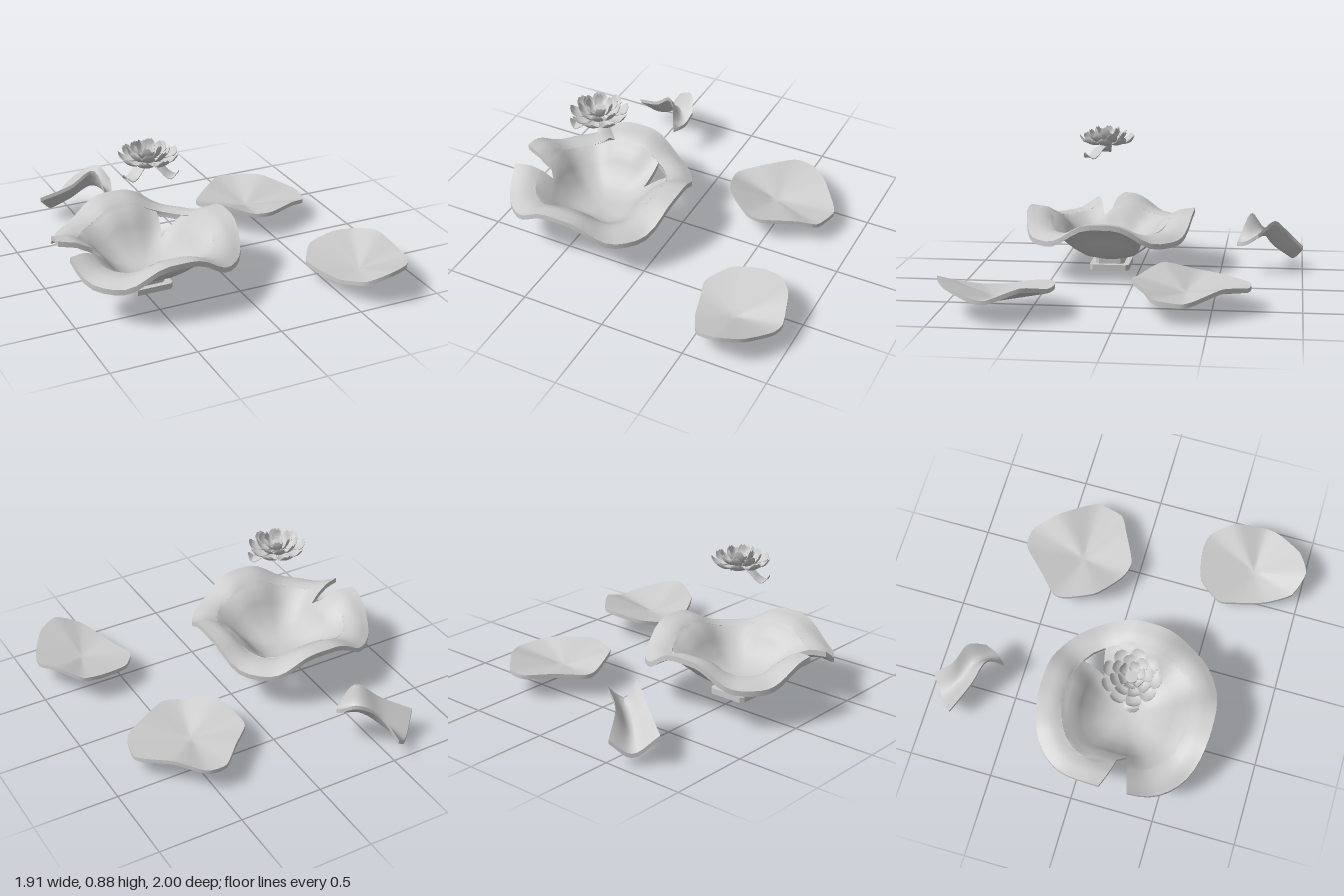
import * as THREE from 'three';
import { mergeGeometries, toCreasedNormals } from 'three/addons/utils/BufferGeometryUtils.js';

const material = new THREE.MeshStandardMaterial({ color: 0xcccccc, side: THREE.DoubleSide });

// Thin sheet: f(u, v) gives the upper surface, t is the vertical thickness.
// us and vs are lists of parameters; closed sheets need no side walls in u.
function slab(f, us, vs, t, closed = false) {
  const pos = [], index = [], nu = us.length, nv = vs.length, n = nu * nv;
  for (const drop of [0, t])
    for (const v of vs) for (const u of us) {
      const p = f(u, v);
      pos.push(p.x, p.y - drop, p.z);
    }
  const quad = (a, b, c, d) => index.push(a, b, c, a, c, d);
  const at = (i, j) => j * nu + i;
  for (let j = 0; j < nv - 1; j++) for (let i = 0; i < nu - 1; i++) {
    const a = at(i, j), b = at(i + 1, j), c = at(i + 1, j + 1), d = at(i, j + 1);
    quad(a, b, c, d);
    quad(d + n, c + n, b + n, a + n);
  }
  const wall = (a, b) => quad(b, a, a + n, b + n);
  for (let i = 0; i < nu - 1; i++) {
    wall(at(i, 0), at(i + 1, 0));
    wall(at(i + 1, nv - 1), at(i, nv - 1));
  }
  if (!closed) for (let j = 0; j < nv - 1; j++) {
    wall(at(0, j + 1), at(0, j));
    wall(at(nu - 1, j), at(nu - 1, j + 1));
  }
  // Turn all faces outward if the enclosed volume comes out negative
  const P = k => new THREE.Vector3().fromArray(pos, k * 3);
  let volume = 0;
  const o = P(0);
  for (let k = 0; k < index.length; k += 3) {
    const [a, b, c] = [0, 1, 2].map(m => P(index[k + m]).sub(o));
    volume += a.dot(b.cross(c));
  }
  if (volume < 0) index.reverse();
  const g = new THREE.BufferGeometry();
  g.setAttribute('position', new THREE.Float32BufferAttribute(pos, 3));
  g.setIndex(index);
  return g.toNonIndexed();
}

const steps = n => Array.from({ length: n + 1 }, (_, i) => i / n);
const mix = THREE.MathUtils.lerp;

function addMesh(parent, name, geometry, crease = 0.7) {
  const mesh = new THREE.Mesh(toCreasedNormals(geometry, crease), material);
  mesh.name = name;
  parent.add(mesh);
  return mesh;
}

// Piecewise linear lookup in a list of [x, y]
function lookup(table, x) {
  for (let i = 1; i < table.length; i++) {
    const [x0, y0] = table[i - 1], [x1, y1] = table[i];
    if (x <= x1) return mix(y0, y1, (x - x0) / (x1 - x0));
  }
  return table[table.length - 1][1];
}

// Bowl: rounded square plan, rim high at the sides and drooping at the corners
function makeBowl() {
  const bowl = new THREE.Group();
  bowl.name = 'bowl';
  bowl.position.set(-0.45, 0, 0.185);
  const side = [[0, 0.065], [0.09, 0.065], [0.17, 0.1], [0.24, 0.165], [0.29, 0.24], [0.34, 0.285], [0.42, 0.325], [0.515, 0.338]];
  const corner = [[0, 0.065], [0.09, 0.065], [0.17, 0.09], [0.24, 0.135], [0.31, 0.195], [0.38, 0.245], [0.45, 0.245], [0.515, 0.212]];
  const t = 0.032, power = 2.46;
  const point = (a, s) => {
    const c = Math.cos(a), d = Math.sin(a);
    const r = s / (Math.abs(c) ** power + Math.abs(d) ** power) ** (1 / power);
    const w = THREE.MathUtils.smoothstep(0.5 + 0.5 * Math.cos(4 * a), 0, 1);
    return new THREE.Vector3(r * c, mix(lookup(corner, s), lookup(side, s), w) + t, r * d);
  };
  // Edges of the triangular hole and of the rim notch, as angles by ring size
  const gap = s => (s > 0.245 && s <= 0.37 ? (s - 0.245) / 0.125 : 0);
  const holeStart = s => -0.8 - 0.2 * gap(s);
  const holeEnd = s => -0.8 + 0.2 * gap(s);
  const notchStart = () => Math.PI - 0.28;
  const notchEnd = s => Math.PI + lookup([[0, -0.28], [0.29, -0.28], [0.325, -0.1], [0.515, 0.04]], s);
  const rings = [0, 0.09, 0.13, 0.17, 0.205, 0.245, 0.27, 0.29, 0.325, 0.345, 0.37, 0.3702, 0.395, 0.42, 0.45, 0.485, 0.515];
  const panel = (from, to) => slab((u, s) => point(mix(from(s), to(s), u), s), steps(32), rings, t);
  addMesh(bowl, 'bowlShell', mergeGeometries([
    panel(holeEnd, notchStart),
    panel(notchEnd, s => holeStart(s) + 2 * Math.PI),
  ]), 0.75);

  // Foot and neck with clipped corners
  const block = (name, h, y, height) => {
    const c = h - 0.02, shape = new THREE.Shape();
    [[h, c], [c, h], [-c, h], [-h, c], [-h, -c], [-c, -h], [c, -h], [h, -c]]
      .forEach(([x, z], i) => (i ? shape.lineTo(x, z) : shape.moveTo(x, z)));
    const g = new THREE.ExtrudeGeometry(shape, { depth: height, bevelEnabled: false });
    g.rotateX(-Math.PI / 2).translate(0, y, 0);
    addMesh(bowl, name, g, 0.3);
  };
  block('foot', 0.122, 0, 0.035);
  block('neck', 0.088, 0.035, 0.04);
  return bowl;
}

// Shallow plate: a smooth closed outline of [x, y, z] falling to a low centre
function makePlate(name, centre, outline) {
  const rim = new THREE.CatmullRomCurve3(outline.map(p => new THREE.Vector3(...p)), true, 'catmullrom', 0.3);
  const mid = new THREE.Vector3(...centre);
  const group = new THREE.Group();
  addMesh(group, name, slab((u, v) => mid.clone().lerp(rim.getPoint(u), v), steps(48), steps(6), 0.025, true));
  return group.children[0];
}

// Curled strip: smooth surface through rows of three points
function makeCurl(parent) {
  const rows = [
    [[-0.73, 0.17, -0.83], [-0.62, 0.065, -0.93], [-0.52, 0.14, -1]],
    [[-0.56, 0.26, -0.74], [-0.53, 0.15, -0.84], [-0.46, 0.27, -0.88]],
    [[-0.43, 0.36, -0.68], [-0.41, 0.25, -0.76], [-0.35, 0.33, -0.82]],
    [[-0.37, 0.19, -0.6], [-0.32, 0.21, -0.66], [-0.3, 0.26, -0.73]],
  ].map(r => new THREE.CatmullRomCurve3(r.map(p => new THREE.Vector3(...p))));
  const f = (u, v) => new THREE.CatmullRomCurve3(rows.map(r => r.getPoint(u))).getPoint(v);
  addMesh(parent, 'curledLeaf', slab(f, steps(10), steps(16), 0.025));
}

// Petal pointing along +x through a list of [distance, height], cupped across
function petal(path, width, cup) {
  const curve = new THREE.CatmullRomCurve3(path.map(([x, y]) => new THREE.Vector3(x, y, 0)));
  return slab((u, v) => {
    const p = curve.getPoint(v), e = u * 2 - 1;
    const half = width * (0.3 + 0.7 * Math.sin(Math.PI * Math.min(1, v * 0.62 + 0.1))) * Math.sqrt(1 - 0.9 * v ** 4);
    p.z = e * half;
    p.y += cup * e * e * (1 - 0.5 * v);
    return p;
  }, steps(6), steps(7), 0.005);
}

function makeFlower() {
  const flower = new THREE.Group();
  flower.name = 'flower';
  flower.position.set(-0.43, 0, 0.205);
  const layers = [
    { name: 'outerPetal', n: 9, width: 0.045, path: [[0.03, 0.785], [0.1, 0.782], [0.145, 0.795], [0.168, 0.825]] },
    { name: 'middlePetal', n: 8, width: 0.037, path: [[0.03, 0.79], [0.075, 0.795], [0.105, 0.82], [0.12, 0.85]] },
    { name: 'innerPetal', n: 6, width: 0.03, path: [[0.02, 0.795], [0.05, 0.81], [0.07, 0.84], [0.075, 0.872]] },
  ];
  layers.forEach(({ name, n, width, path }, k) => {
    for (let i = 0; i < n; i++)
      addMesh(flower, name, petal(path, width, 0.015)).rotation.y = (i + k * 0.5) / n * 2 * Math.PI;
  });
  // Drooping sepals below the petals
  const droop = [[0.01, 0.785], [0.06, 0.765], [0.12, 0.715], [0.15, 0.71], [0.175, 0.74]];
  for (const angle of [-2.85, -0.75])
    addMesh(flower, 'sepal', petal(droop, 0.045, -0.01)).rotation.y = angle;
  const core = new THREE.CylinderGeometry(0.036, 0.03, 0.05, 12).translate(0, 0.81, 0);
  addMesh(flower, 'flowerCentre', core);
  return flower;
}

export function createModel() {
  const model = new THREE.Group();
  model.add(makeBowl(), makeFlower());
  model.add(makePlate('backPlate', [0.46, 0.09, -0.35], [
    [0.83, 0.12, -0.35], [0.79, 0.13, -0.2], [0.68, 0.155, -0.14], [0.49, 0.165, -0.05], [0.38, 0.16, -0.08],
    [0.22, 0.2, -0.2], [0.16, 0.15, -0.38], [0.17, 0.14, -0.46], [0.3, 0.15, -0.585], [0.43, 0.145, -0.71],
    [0.55, 0.145, -0.7], [0.68, 0.17, -0.57], [0.8, 0.13, -0.42]]));
  model.add(makePlate('frontPlate', [0.67, 0.085, 0.69], [
    [0.95, 0.14, 0.68], [0.93, 0.15, 0.78], [0.83, 0.19, 0.93], [0.7, 0.205, 1], [0.56, 0.15, 0.95],
    [0.48, 0.11, 0.8], [0.44, 0.105, 0.66], [0.41, 0.12, 0.53], [0.51, 0.15, 0.39], [0.68, 0.17, 0.35],
    [0.8, 0.175, 0.37], [0.9, 0.2, 0.5]]));
  makeCurl(model);
  return model;
}
